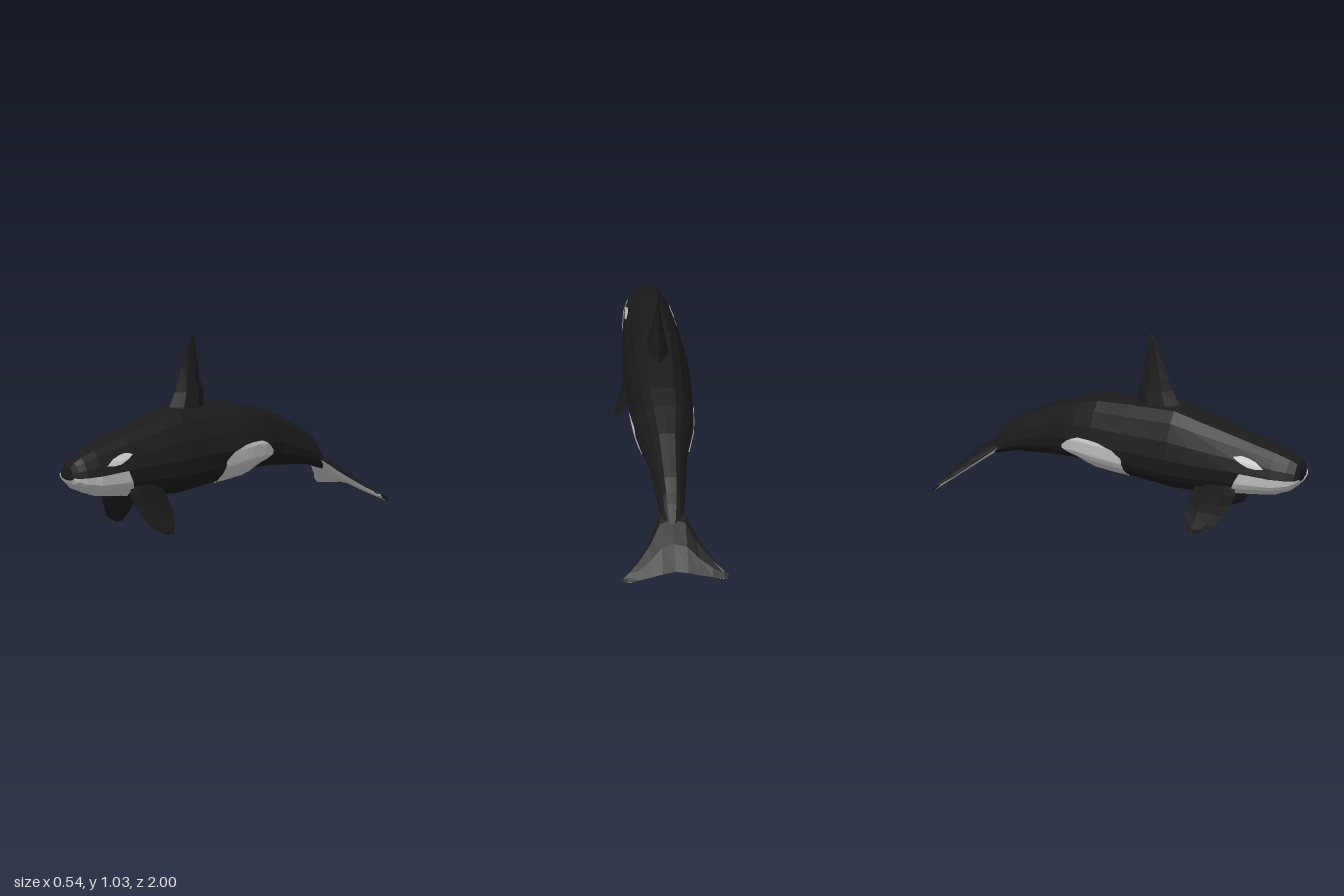
import * as THREE from 'three';

const black = new THREE.MeshStandardMaterial({ color: 0x1c1c1c, flatShading: true });
const white = new THREE.MeshStandardMaterial({ color: 0xcccccc, flatShading: true, side: THREE.DoubleSide });
const lerp = THREE.MathUtils.lerp;

// Skin over rows of [x, y, z] points; closed rows are capped and wound outwards
function skin(rows, closed) {
  const n = rows[0].length, pos = rows.flat(2), idx = [];
  for (let i = 0; i < rows.length - 1; i++)
    for (let j = 0; j < (closed ? n : n - 1); j++) {
      const k = (j + 1) % n, a = i * n + j, b = i * n + k;
      idx.push(a, b, a + n, b, b + n, a + n);
    }
  if (closed) {
    const last = (rows.length - 1) * n;
    for (let j = 1; j < n - 1; j++) idx.push(0, j + 1, j, last, last + j, last + j + 1);
    const v = idx.map(i => new THREE.Vector3().fromArray(pos, i * 3));
    let volume = 0;
    for (let i = 0; i < v.length; i += 3) volume += v[i].dot(v[i + 1].clone().cross(v[i + 2]));
    if (volume < 0) idx.reverse();
  }
  const g = new THREE.BufferGeometry();
  g.setAttribute('position', new THREE.Float32BufferAttribute(pos, 3));
  g.setIndex(idx);
  g.computeVertexNormals();
  return g;
}

// Body stations: z, belly y, widest y, back y, half width
const stations = [
  [0.995, 0.42, 0.43, 0.475, 0.04], [0.98, 0.395, 0.43, 0.505, 0.07], [0.94, 0.36, 0.43, 0.525, 0.092],
  [0.86, 0.32, 0.43, 0.55, 0.115], [0.66, 0.285, 0.435, 0.592, 0.14], [0.41, 0.245, 0.43, 0.643, 0.165],
  [0.29, 0.235, 0.43, 0.667, 0.172], [0.03, 0.245, 0.42, 0.642, 0.165], [-0.155, 0.25, 0.42, 0.62, 0.158],
  [-0.26, 0.27, 0.41, 0.585, 0.146], [-0.42, 0.25, 0.38, 0.52, 0.103], [-0.635, 0.215, 0.29, 0.395, 0.077],
  [-0.7, 0.19, 0.255, 0.345, 0.066], [-0.73, 0.18, 0.23, 0.295, 0.06], [-0.8, 0.15, 0.175, 0.2, 0.03],
];
// Half cross-section from belly centre to back centre
const section = [[0, -1], [0.42, -1], [0.76, -0.68], [0.91, -0.45], [1, 0], [0.88, 0.4], [0.66, 0.77], [0.4, 0.99], [0, 1]];

// Point on the body at length z and section position s (0 belly, 4 flank, 8 back)
function bodyPoint(z, s, lift = 0) {
  let i = 0;
  while (i < stations.length - 2 && stations[i + 1][0] > z) i++;
  const a = stations[i], b = stations[i + 1], t = (z - a[0]) / (b[0] - a[0]);
  const [, low, mid, top, w] = a.map((v, k) => lerp(v, b[k], t));
  const j = Math.min(Math.floor(s), 7);
  const [u, v] = section[j].map((c, k) => lerp(c, section[j + 1][k], s - j));
  return [u * (w + lift), mid + v * ((v < 0 ? mid - low : top - mid) + lift), z + (z > 0.9 ? lift : 0)];
}

// Marking lying on the body: stations of z, lower s, upper s
function marking(outline, columns = 16, steps = 4) {
  const rows = [];
  for (let i = 0; i < outline.length - 1; i++)
    for (let k = i ? 1 : 0; k <= steps; k++) {
      const [z, s0, s1] = outline[i].map((v, c) => lerp(v, outline[i + 1][c], k / steps));
      rows.push(Array.from({ length: columns + 1 }, (_, c) => bodyPoint(z, lerp(s0, s1, c / columns), 0.005)));
    }
  return skin(rows, false);
}

// Lens-shaped ring between leading and trailing points, thickened along an axis
function lens(lead, trail, thick, axis) {
  const at = (t, h) => lead.map((v, k) => lerp(v, trail[k], t) + (k === axis ? h * thick / 2 : 0));
  return [at(0, 0), at(0.25, 0.9), at(0.65, 1), at(1, 0), at(0.65, -1), at(0.25, -0.9)];
}

export function createModel() {
  const model = new THREE.Group();
  const add = (name, geometry, material = black, mirrored = false) => {
    const mesh = new THREE.Mesh(geometry, material);
    mesh.name = name;
    if (mirrored) mesh.scale.x = -1;
    model.add(mesh);
  };

  // Body
  add('body', skin(stations.map(([z]) => {
    const half = section.map((_, s) => bodyPoint(z, s));
    return [...half, ...half.slice(1, 8).reverse().map(([x, y, zz]) => [-x, y, zz])];
  }), true));

  // Dorsal fin: leading z, y, trailing z, y, thickness
  add('dorsalFin', skin([
    [0.3, 0.64, 0.035, 0.62, 0.115], [0.285, 0.67, 0.045, 0.66, 0.105], [0.245, 0.74, 0.05, 0.73, 0.075],
    [0.222, 0.80, 0.075, 0.79, 0.055], [0.2, 0.865, 0.08, 0.855, 0.033], [0.165, 0.96, 0.1, 0.935, 0.012],
    [0.14, 1.01, 0.11, 0.995, 0.005], [0.115, 1.028, 0.105, 1.026, 0.002],
  ].map(([lz, ly, tz, ty, t]) => lens([0, ly, lz], [0, ty, tz], t, 0)), true));

  // Flippers: leading z, y, trailing z, y, x, thickness
  const flipper = skin([
    [0.655, 0.34, 0.44, 0.32, 0.1, 0.05], [0.66, 0.29, 0.42, 0.27, 0.108, 0.05], [0.64, 0.23, 0.4, 0.215, 0.122, 0.042],
    [0.61, 0.175, 0.395, 0.17, 0.14, 0.032], [0.57, 0.12, 0.4, 0.125, 0.163, 0.022],
    [0.52, 0.087, 0.415, 0.09, 0.18, 0.016], [0.47, 0.066, 0.435, 0.068, 0.189, 0.008],
  ].map(([lz, ly, tz, ty, x, t]) => lens([x, ly, lz], [x, ty, tz], t, 0)), true);

  // Tail fluke: x, leading z, y, trailing z, y, thickness
  const half = [
    [0.065, -0.72, 0.235, -0.99, 0.04, 0.06], [0.12, -0.82, 0.15, -0.995, 0.028, 0.045],
    [0.19, -0.91, 0.078, -1, 0.015, 0.03], [0.245, -0.965, 0.04, -1, 0.004, 0.02], [0.268, -0.99, 0.022, -1, 0, 0.008],
  ];
  const span = [...half.map(([x, ...r]) => [-x, ...r]).reverse(), [0, -0.7, 0.245, -0.98, 0.045, 0.07], ...half];
  const rings = span.map(([x, lz, ly, tz, ty, t]) => lens([x, ly, lz], [x, ty, tz], t, 1));
  add('tailFluke', skin(rings, true));
  // Light underside of the fluke, just inside its rim
  add('flukeUnderside', skin(rings.slice(1, -1).map(([lead, , , trail, b, a]) => {
    const inset = (p, q) => p.map((v, k) => lerp(v, q[k], 0.12));
    return [inset(lead, a), a, b, inset(trail, b)].map(([x, y, z]) => [x, y - 0.003, z]);
  }), false), white);

  // Paired parts and white markings
  const jaw = marking([[0.994, 0, 4], [0.98, 0, 4], [0.94, 0, 4], [0.86, 0, 4], [0.7, 0, 4], [0.66, 0, 3], [0.64, 0, 2]]);
  const belly = marking([[0.03, 0, 3.4], [-0.02, 0, 3.9], [-0.1, 0, 4.15], [-0.155, 0, 4.2],
    [-0.225, 1.4, 4.25], [-0.26, 1.9, 4.1], [-0.29, 2.3, 3.9], [-0.33, 3.1, 3.4]]);
  const eye = marking([[0.825, 4.8, 4.85], [0.78, 4.65, 5.3], [0.74, 4.65, 5.45], [0.7, 4.85, 5.48], [0.66, 5.15, 5.25]]);
  for (const [side, mirrored] of [['left', false], ['right', true]]) {
    add(side + 'Flipper', flipper, black, mirrored);
    add(side + 'JawMarking', jaw, white, mirrored);
    add(side + 'BellyMarking', belly, white, mirrored);
    add(side + 'EyePatch', eye, white, mirrored);
  }
  return model;
}
